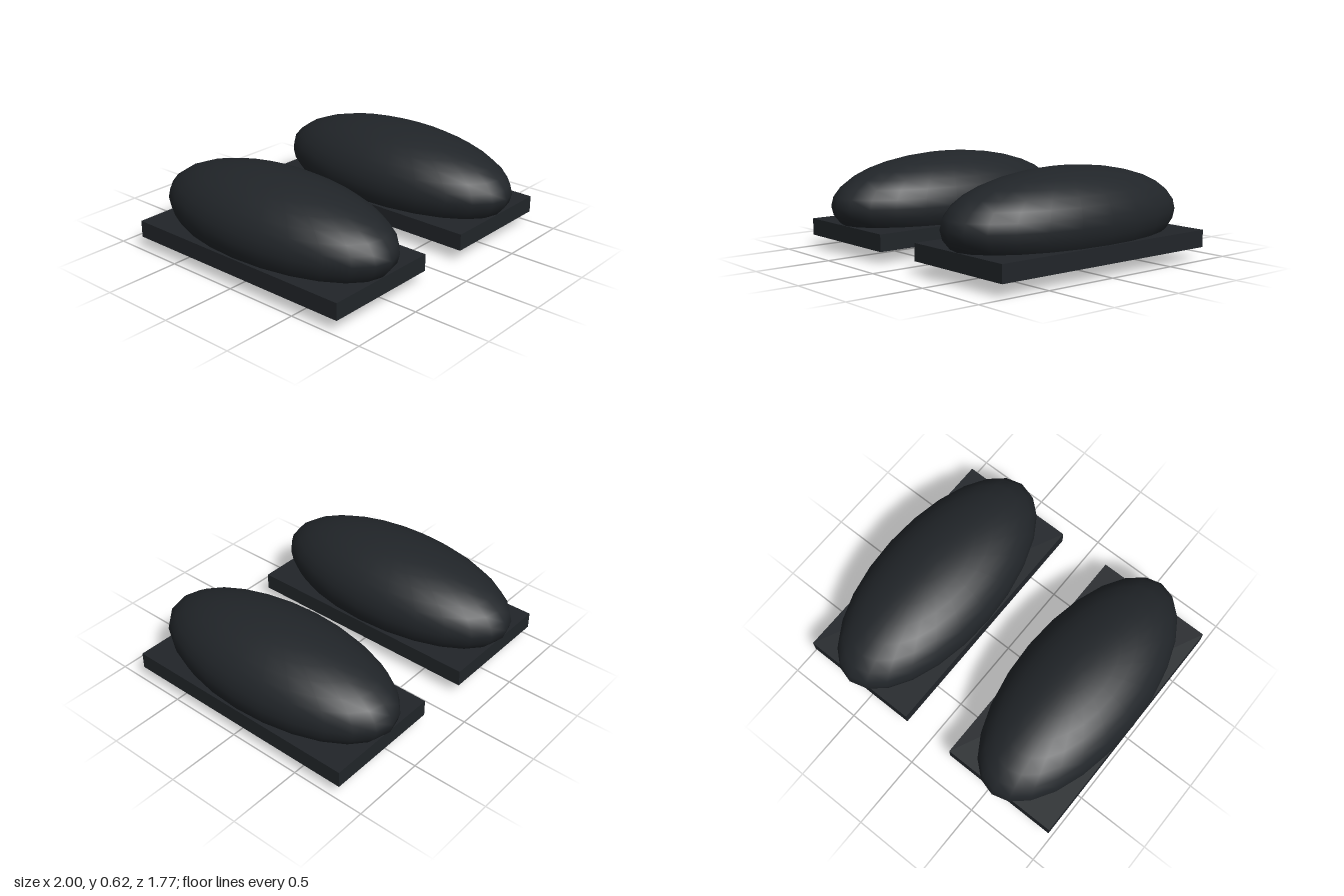
import * as THREE from 'three';

export function createModel() {
  const model = new THREE.Group();
  model.name = 'shoePair';
  const material = new THREE.MeshStandardMaterial({ color: 0x212529 });

  // Smooth ellipsoid upper and flat slab sole, shared by both shoes
  const upperGeometry = new THREE.SphereGeometry(1, 24, 16).scale(0.42, 0.31, 0.887);
  const soleGeometry = new THREE.BoxGeometry(0.8, 0.11, 1.645);

  for (const [name, side] of [['left', 1], ['right', -1]]) {
    const shoe = new THREE.Group();
    shoe.name = name + 'Shoe';
    shoe.position.x = side * 0.58;

    const upper = new THREE.Mesh(upperGeometry, material);
    upper.name = name + 'Upper';
    upper.position.y = 0.31;

    const sole = new THREE.Mesh(soleGeometry, material);
    sole.name = name + 'Sole';
    sole.position.y = 0.135;

    shoe.add(upper, sole);
    model.add(shoe);
  }
  return model;
}
